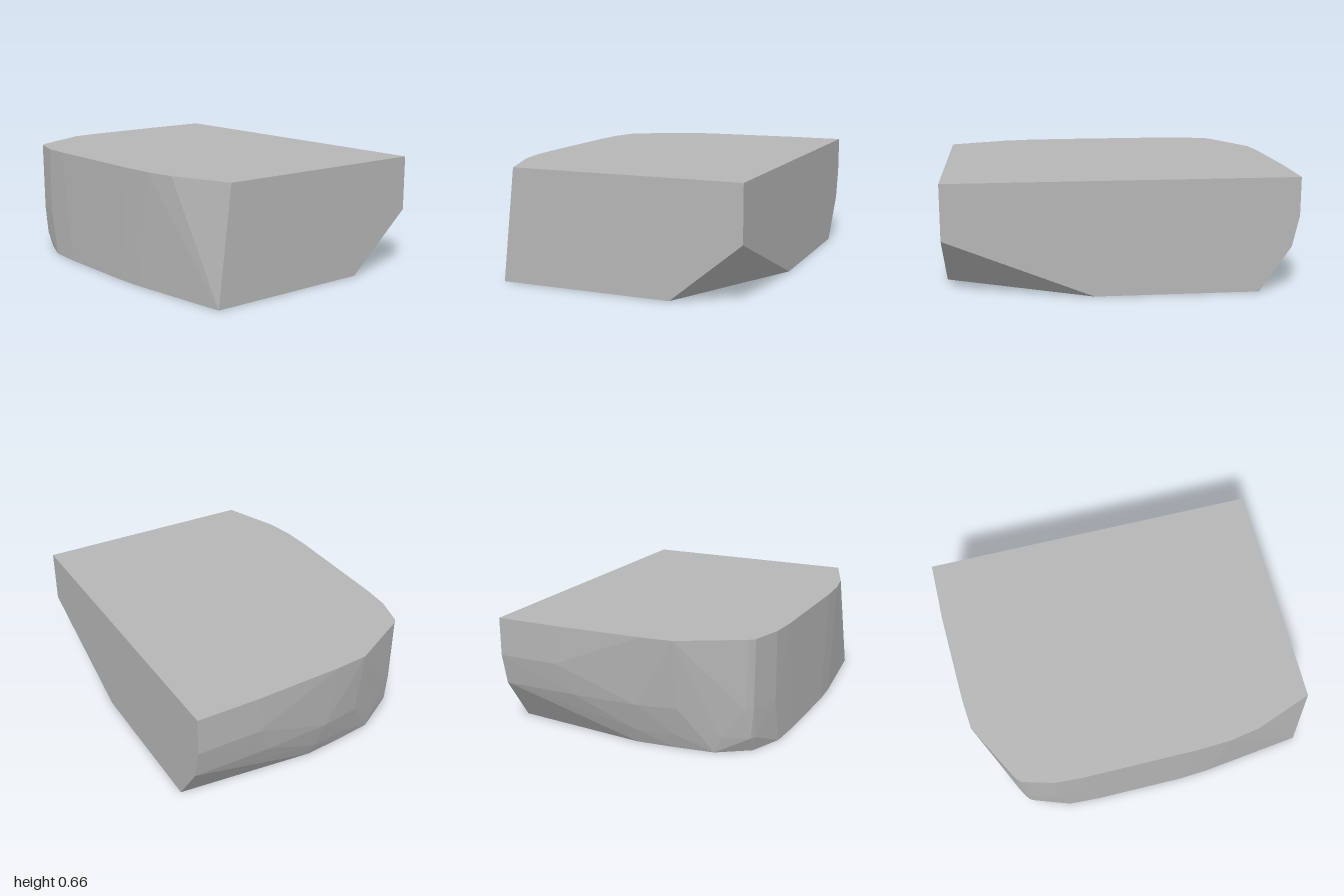
import * as THREE from 'three';
import { ConvexGeometry } from 'three/addons/geometries/ConvexGeometry.js';

// Horizontal cross-sections of the block: height, then [x, z] corners
const sections = [
  { y: 0.66, ring: [[-1, -0.76], [1, -0.76], [1, 0.59], [0.66, 0.715], [0.49, 0.745], [0.3, 0.755],
    [-0.4, 0.755], [-0.56, 0.745], [-0.74, 0.695], [-0.77, 0.665], [-0.96, 0.315], [-0.978, 0.13], [-1, -0.4]] },
  // rounded side and front corner
  { y: 0.44, ring: [[-1, -0.76], [-1, -0.4]] },
  { y: 0.26, ring: [[-0.96, -0.76], [-0.965, -0.3], [-0.95, 0.08], [-0.91, 0.315],
    [-0.77, 0.655], [-0.74, 0.69], [-0.56, 0.745]] },
  { y: 0.09, ring: [[-0.9, 0.05], [-0.87, 0.28], [-0.81, 0.53], [-0.74, 0.675], [-0.71, 0.69]] },
  // sliced rear corner meets the back edge here
  { y: 0.34, ring: [[1, -0.76]] },
  { y: 0, ring: [[1, -0.35], [0.16, -0.76], [-0.78, -0.76], [-0.86, 0.04], [-0.84, 0.26], [-0.81, 0.49],
    [-0.69, 0.67], [-0.5, 0.745], [-0.3, 0.755], [0.22, 0.755], [0.39, 0.745], [1, 0.67]] },
];

export function createModel() {
  const grey = new THREE.MeshStandardMaterial({ color: 0xb5b5b5 });
  grey.name = 'stone grey';

  // Faceted convex block wrapped around the cross-sections
  const points = sections.flatMap(({ y, ring }) => ring.map(([x, z]) => new THREE.Vector3(x, y, z)));
  const block = new THREE.Mesh(new ConvexGeometry(points), grey);
  block.name = 'block';

  const model = new THREE.Group();
  model.name = 'stoneBlock';
  model.add(block);
  return model;
}
